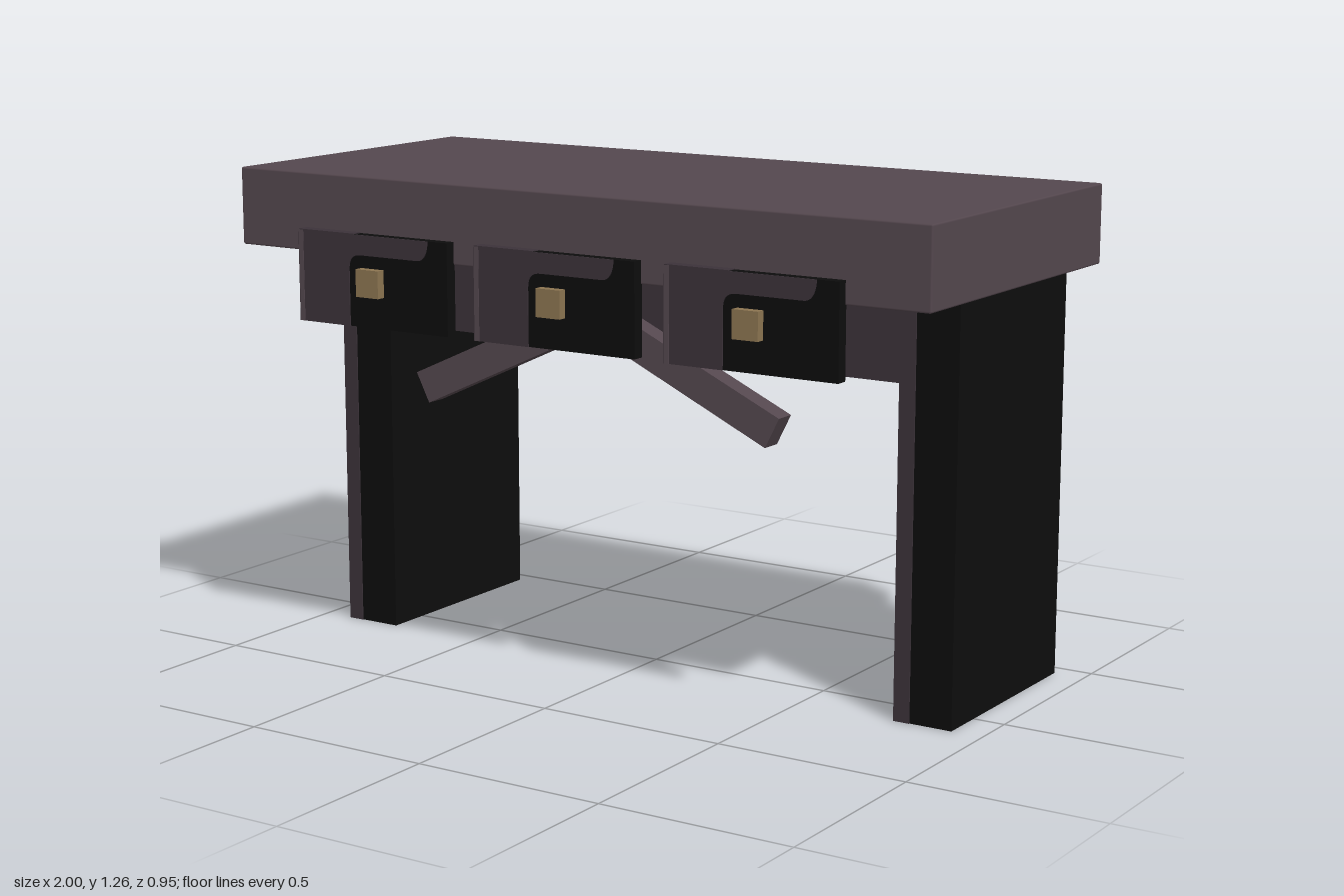
import * as THREE from 'three';
import { RoundedBoxGeometry } from 'three/addons/geometries/RoundedBoxGeometry.js';

function mat(name, color) {
  const m = new THREE.MeshStandardMaterial({ color });
  m.name = name;
  return m;
}

export function createModel() {
  const wood = mat('plum wood', 0x54474e);
  const darkWood = mat('dark plum wood', 0x3b3239);
  const black = mat('black lacquer', 0x0d0d0d);
  const brass = mat('brass', 0x8c7551);

  const model = new THREE.Group();
  model.name = 'desk';

  const add = (parent, name, geometry, material) => {
    const mesh = new THREE.Mesh(geometry, material);
    mesh.name = name;
    parent.add(mesh);
    return mesh;
  };
  // Box given by its minimum and maximum on each axis
  const box = (parent, name, material, x0, x1, y0, y1, z0, z1) =>
    add(parent, name, new THREE.BoxGeometry(x1 - x0, y1 - y0, z1 - z0), material)
      .position.set((x0 + x1) / 2, (y0 + y1) / 2, (z0 + z1) / 2);

  // Thick top with finely eased edges
  add(model, 'tabletop', new RoundedBoxGeometry(2, 0.2, 0.894, 1, 0.005), wood)
    .position.set(0, 1.16, -0.025);

  // Slab legs, each with a plum strip down the front
  for (const x of [-0.92, 0.762]) {
    const leg = new THREE.Group();
    leg.name = x < 0 ? 'rightLeg' : 'leftLeg';
    box(leg, 'legSlab', black, x, x + 0.156, 0, 1.062, -0.455, 0.118);
    box(leg, 'legStrip', darkWood, x, x + 0.043, 0, 1.062, 0.118, 0.121);
    model.add(leg);
  }

  // Deep apron block between the legs
  box(model, 'apron', darkWood, -0.765, 0.763, 0.83, 1.062, -0.39, 0.115);

  // Angled brace, two arms meeting in the middle
  const brace = new THREE.Shape([
    [0, 0.995], [-0.538, 0.75], [-0.5, 0.675], [0, 0.905], [0.5, 0.675], [0.538, 0.75],
  ].map(([x, y]) => new THREE.Vector2(x, y)));
  add(model, 'brace', new THREE.ExtrudeGeometry(brace, { depth: 0.056, bevelEnabled: false }), wood)
    .position.z = 0.24;

  // Plum corner panel on a drawer: a left column and a top band
  const panel = new THREE.Shape();
  panel.moveTo(0, 0);
  panel.lineTo(0.16, 0);
  panel.lineTo(0.16, 0.145);
  panel.quadraticCurveTo(0.16, 0.182, 0.197, 0.182);
  panel.lineTo(0.375, 0.182);
  panel.quadraticCurveTo(0.405, 0.182, 0.408, 0.233);
  panel.lineTo(0, 0.233);
  const panelGeometry = new THREE.ExtrudeGeometry(panel, { depth: 0.003, bevelEnabled: false });

  // Three drawer fronts with square knobs
  for (const x of [-0.785, -0.234, 0.317]) {
    const drawer = new THREE.Group();
    drawer.name = 'drawer';
    drawer.position.set(x, 0.885, 0);
    box(drawer, 'drawerFront', black, 0, 0.466, 0, 0.233, 0.418, 0.45);
    add(drawer, 'cornerPanel', panelGeometry, darkWood).position.z = 0.45;
    box(drawer, 'edgeHighlight', wood, 0, 0.014, 0, 0.233, 0.453, 0.454);
    box(drawer, 'sidePlate', darkWood, -0.002, 0, 0, 0.233, 0.418, 0.453);
    box(drawer, 'topPlate', darkWood, 0, 0.175, 0.233, 0.235, 0.418, 0.453);
    box(drawer, 'knob', brass, 0.198, 0.268, 0.08, 0.15, 0.45, 0.474);
    model.add(drawer);
  }

  return model;
}
